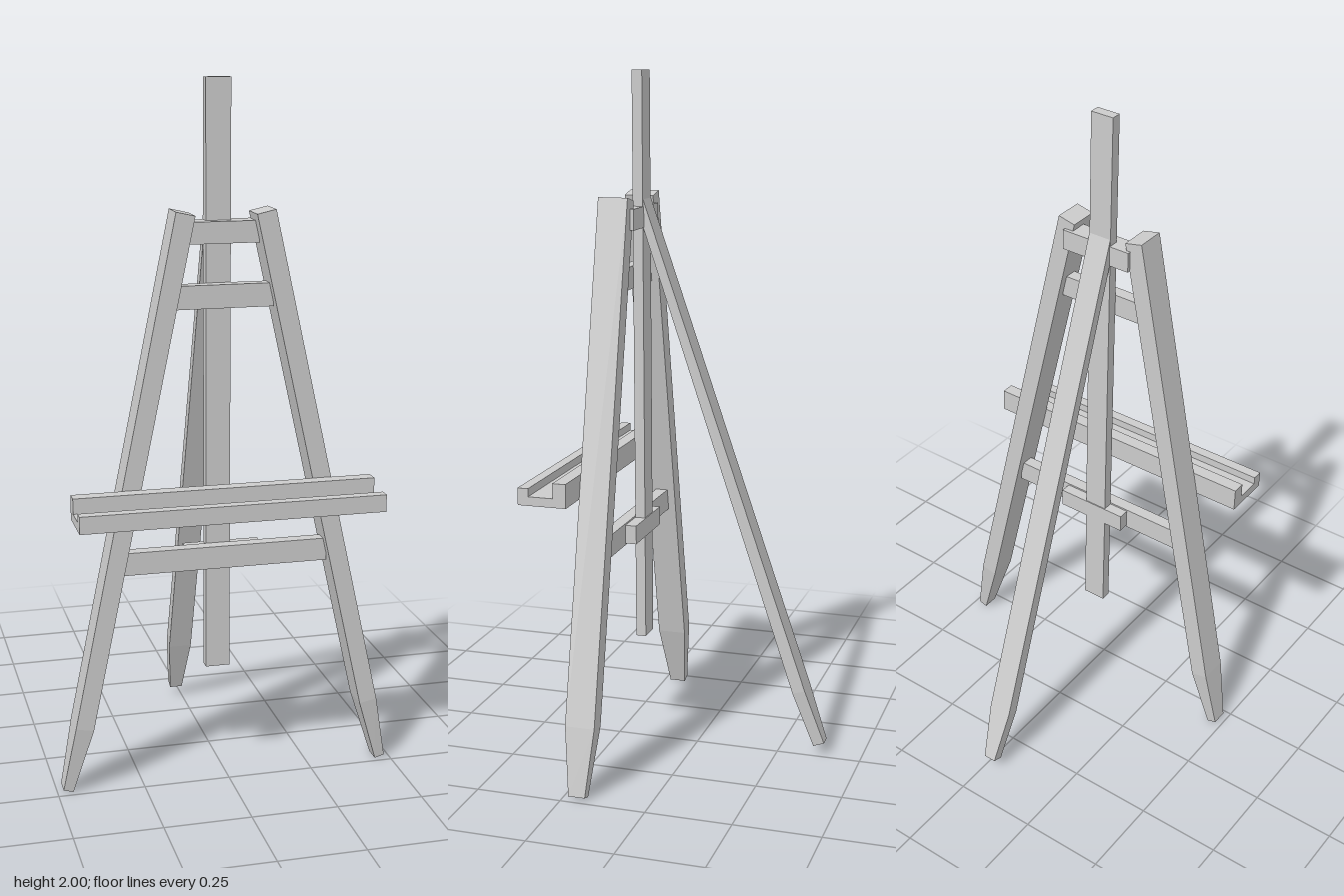
import * as THREE from 'three';

const wood = new THREE.MeshStandardMaterial({ color: 0xcccccc, flatShading: true });

// Box given by its minimum and maximum on each axis
function bar(name, [x0, x1], [y0, y1], [z0, z1]) {
  const geo = new THREE.BoxGeometry(x1 - x0, y1 - y0, z1 - z0);
  geo.translate((x0 + x1) / 2, (y0 + y1) / 2, (z0 + z1) / 2);
  const mesh = new THREE.Mesh(geo, wood);
  mesh.name = name;
  return mesh;
}

// Timber lofted through four-cornered rings, listed from top to bottom.
// Corners run: front -x, front +x, back +x, back -x.
function loft(name, rings) {
  const pos = [];
  const quad = (a, b, c, d) => pos.push(...a, ...b, ...c, ...a, ...c, ...d);
  const last = rings[rings.length - 1];
  quad(...rings[0]);
  quad(last[3], last[2], last[1], last[0]);
  for (let r = 0; r < rings.length - 1; r++) {
    for (let i = 0; i < 4; i++) {
      const j = (i + 1) % 4;
      quad(rings[r + 1][i], rings[r + 1][j], rings[r][j], rings[r][i]);
    }
  }
  const geo = new THREE.BufferGeometry();
  geo.setAttribute('position', new THREE.Float32BufferAttribute(pos, 3));
  geo.computeVertexNormals();
  const mesh = new THREE.Mesh(geo, wood);
  mesh.name = name;
  return mesh;
}

// Splayed front leg with a tapered foot; side is +1 or -1
function frontLeg(name, side, shift) {
  // inner x, inner y, outer x, outer y, back z, front z
  const sections = [
    [0.073 + shift, 1.641, 0.126 + shift, 1.653, 0.165, 0.252],
    [0.396, 0.195, 0.447, 0.205, 0.165, 0.252],
    [0.455, 0.004, 0.483, 0.012, 0.183, 0.232],
  ];
  return loft(name, sections.map(([xi, yi, xo, yo, zb, zf]) => {
    const a = [side * xi, yi], b = [side * xo, yo];
    const [l, r] = side > 0 ? [a, b] : [b, a];
    return [[...l, zf], [...r, zf], [...r, zb], [...l, zb]];
  }));
}

export function createModel() {
  const easel = new THREE.Group();
  easel.name = 'easel';

  easel.add(frontLeg('leftFrontLeg', 1, 0), frontLeg('rightFrontLeg', -1, 0.025));

  // Rear leg leaning back from the mast: half width, front y/z, back y/z
  const cx = -0.019;
  const rear = [
    [0.035, 1.56, 0.157, 1.64, 0.157],
    [0.035, 0.2, -0.298, 0.21, -0.335],
    [0.019, 0.035, -0.36, 0.047, -0.392],
  ];
  easel.add(loft('rearLeg', rear.map(([w, yf, zf, yb, zb]) => [
    [cx - w, yf, zf], [cx + w, yf, zf], [cx + w, yb, zb], [cx - w, yb, zb],
  ])));

  // Central mast
  easel.add(bar('mast', [cx - 0.035, cx + 0.035], [0.33, 2], [0.158, 0.188]));

  // Crossbars between the front legs
  easel.add(
    bar('topCrossbar', [-0.115, 0.09], [1.56, 1.62], [0.188, 0.215]),
    bar('upperCrossbar', [-0.155, 0.128], [1.385, 1.45], [0.188, 0.225]),
    bar('lowerCrossbar', [-0.312, 0.292], [0.64, 0.705], [0.188, 0.225]),
  );

  // Guides that hold the mast against the crossbars
  for (const [name, y] of [['topMastGuide', [1.56, 1.62]], ['lowerMastGuide', [0.645, 0.7]]]) {
    easel.add(bar(name, [-0.115, 0.105], y, [0.155, 0.19]));
  }

  // Tray: one channel profile (z, y) run along x
  const profile = [
    [0.253, 0.826], [0.395, 0.826], [0.395, 0.875], [0.364, 0.875],
    [0.364, 0.852], [0.292, 0.852], [0.292, 0.895], [0.253, 0.895],
  ];
  const shape = new THREE.Shape(profile.map(([z, y]) => new THREE.Vector2(-z, y)));
  const trayGeo = new THREE.ExtrudeGeometry(shape, { depth: 0.858, bevelEnabled: false });
  trayGeo.rotateY(Math.PI / 2).translate(-0.449, 0, 0);
  const tray = new THREE.Mesh(trayGeo, wood);
  tray.name = 'tray';
  easel.add(tray);

  return easel;
}
